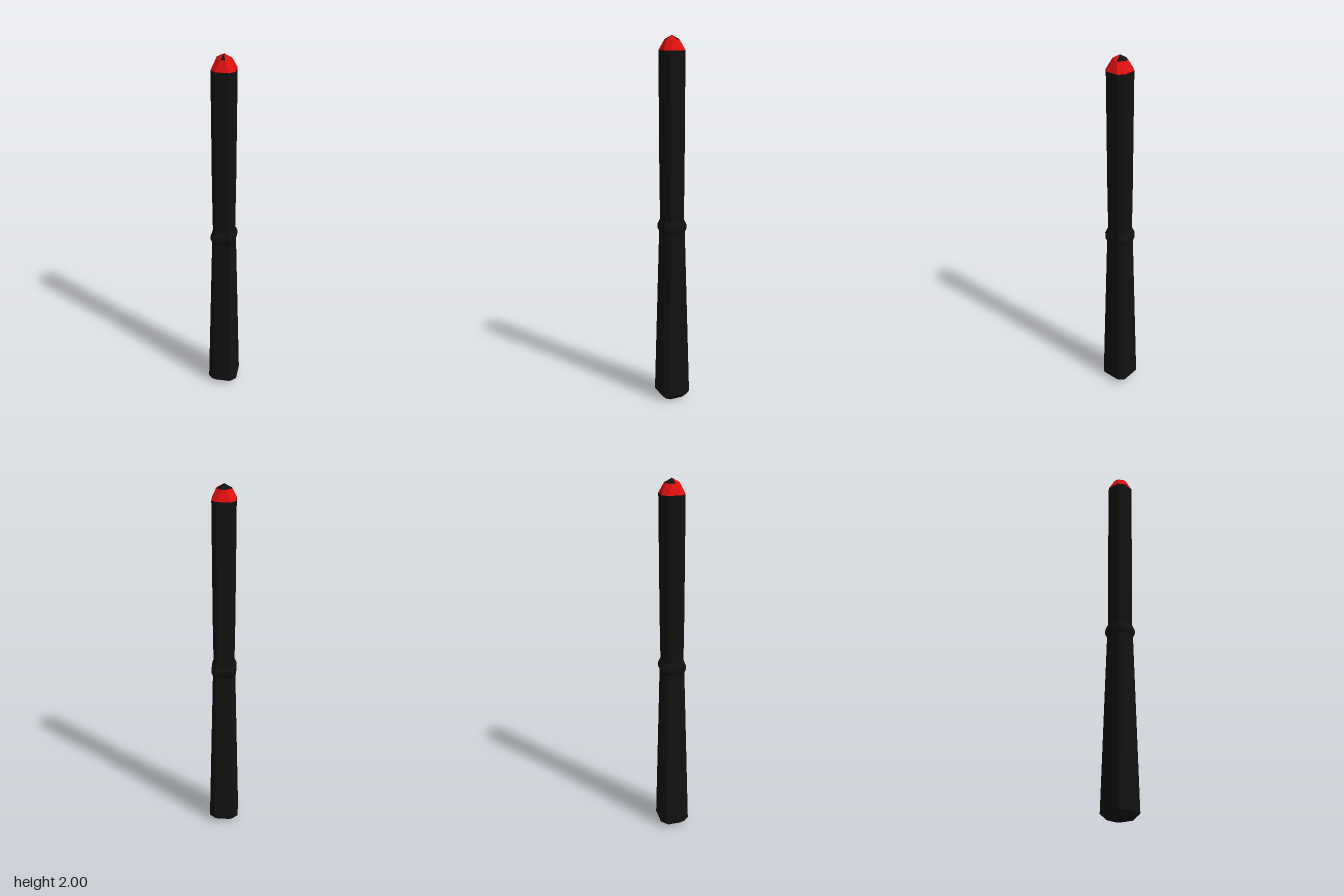
import * as THREE from 'three';

const black = new THREE.MeshStandardMaterial({ color: 0x111111 });
black.name = 'black';
const red = new THREE.MeshStandardMaterial({ color: 0xe01010 });
red.name = 'red';

// Square with cut corners: h is the half width, c the half length of a flat side
function ring([y, h, c]) {
  return [[h, -c], [h, c], [c, h], [-c, h], [-h, c], [-h, -c], [-c, -h], [c, -h]]
    .map(([x, z]) => [x, y, z]);
}

// Flat-faced skin through the sections, limited to the chosen sides
// (0 right, 1 front right, 2 front, 3 front left, ... 7 back right)
function loft(name, material, sections, sides = [0, 1, 2, 3, 4, 5, 6, 7]) {
  const positions = [];
  const rings = sections.map(ring);
  for (let k = 0; k < rings.length - 1; k++) {
    const a = rings[k], b = rings[k + 1];
    for (const i of sides) {
      const j = (i + 1) % 8;
      if (sections[k][1] > 0) positions.push(...a[i], ...b[i], ...a[j]);
      if (sections[k + 1][1] > 0) positions.push(...a[j], ...b[i], ...b[j]);
    }
  }
  const geometry = new THREE.BufferGeometry();
  geometry.setAttribute('position', new THREE.Float32BufferAttribute(positions, 3));
  geometry.computeVertexNormals();
  const mesh = new THREE.Mesh(geometry, material);
  mesh.name = name;
  return mesh;
}

export function createModel() {
  const model = new THREE.Group();
  model.name = 'baton';

  // Tapered handle with a bevelled foot
  model.add(loft('handle', black, [
    [0, 0, 0], [0, 0.055, 0.036], [0.03, 0.082, 0.055], [0.97, 0.059, 0.038],
  ]));

  // Collar between handle and shaft
  model.add(loft('collar', black, [
    [0.97, 0.059, 0.038], [0.99, 0.066, 0.045], [1.01, 0.066, 0.045], [1.04, 0.055, 0.034],
  ]));

  // Upper shaft, slightly wider toward the tip
  model.add(loft('shaft', black, [
    [1.04, 0.055, 0.034], [1.3, 0.058, 0.034], [1.925, 0.06, 0.034],
  ]));

  // Sloping tip and its shallow two-coloured point
  model.add(loft('tip', red, [[1.925, 0.06, 0.034], [1.978, 0.037, 0.011]]));
  const point = [[1.978, 0.037, 0.011], [2, 0, 0]];
  model.add(loft('pointRed', red, point, [0, 1, 3]));
  model.add(loft('pointBlack', black, point, [2, 4, 5, 6, 7]));

  return model;
}
